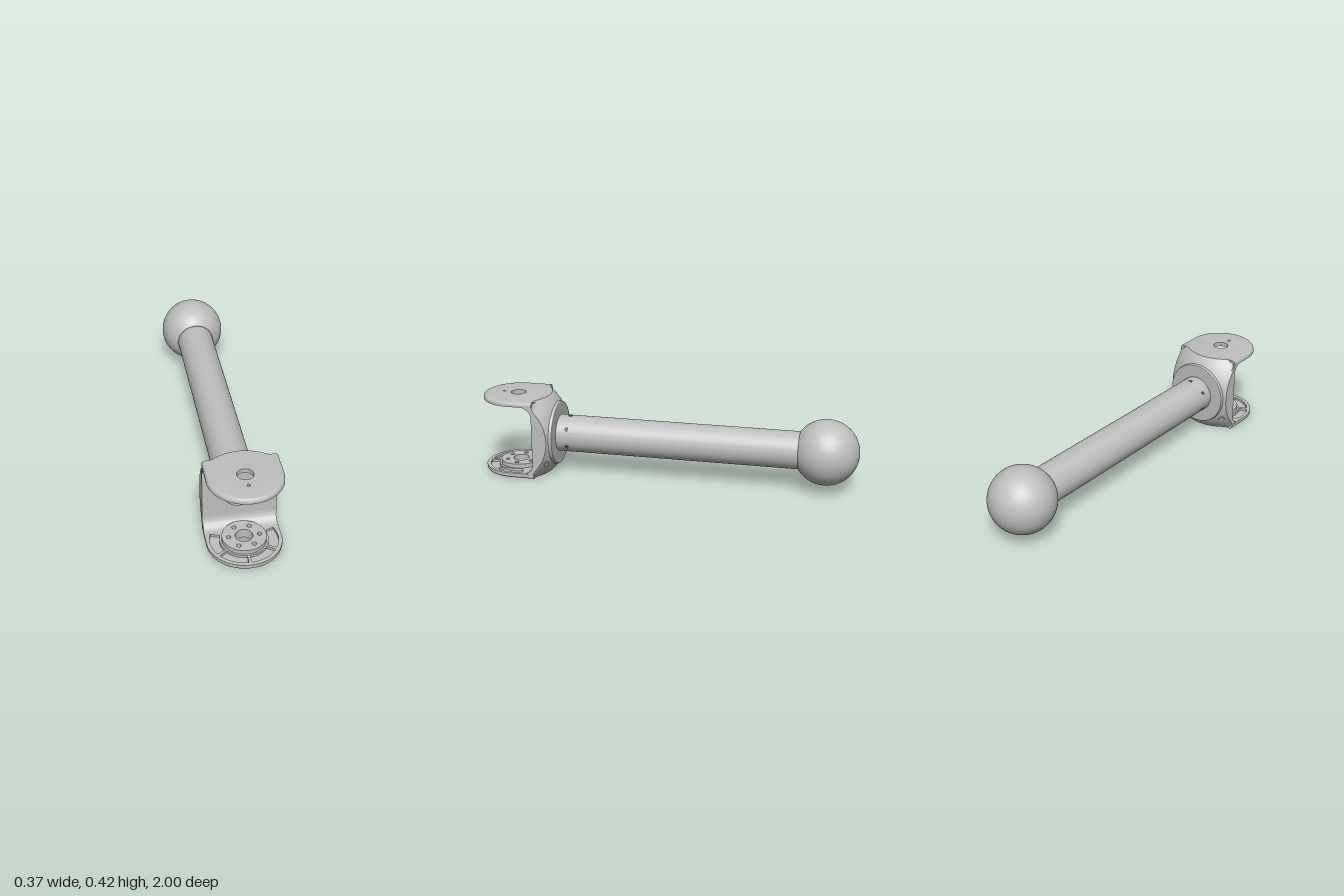
import * as THREE from 'three';
import { toCreasedNormals } from 'three/addons/utils/BufferGeometryUtils.js';

const W = 0.183, H = 0.423, CY = H / 2, PZ = 0.815, WALL = 0.69;
const ROUND = 0.015;

export function createModel() {
  const group = new THREE.Group();
  const grey = new THREE.MeshStandardMaterial({ color: 0xbfbfbf });
  grey.name = 'grey metal';
  const dark = new THREE.MeshStandardMaterial({ color: 0x5a5a5a });
  dark.name = 'dark hole';

  const add = (name, geo, mat = grey) => {
    const mesh = new THREE.Mesh(geo, mat);
    mesh.name = name;
    group.add(mesh);
    return mesh;
  };
  const circle = (x, y, r) => new THREE.Path().absarc(x, y, r, 0, Math.PI * 2, false);

  // Hollow tube along z
  const tube = new THREE.LatheGeometry([
    [0.085, -0.7], [0.085, 0.6], [0.098, 0.6], [0.098, -0.7],
  ].map(([r, z]) => new THREE.Vector2(r, z)).reverse(), 64);
  tube.rotateX(Math.PI / 2).translate(0, CY, 0);
  const tubeMesh = add('tube', toCreasedNormals(tube, 0.6));
  tubeMesh.material = grey;

  // Ball with a flat face where the tube meets it
  const ballR = 0.17, ballZ = -0.83, flat = 0.137;
  const end = Math.acos(flat / ballR);
  const ballProfile = [];
  for (let i = 0; i <= 40; i++) {
    const a = Math.PI + (end - Math.PI) * i / 40;
    ballProfile.push(new THREE.Vector2(Math.max(0, ballR * Math.sin(a)), ballR * Math.cos(a)));
  }
  ballProfile.push(new THREE.Vector2(0, flat));
  const ball = new THREE.LatheGeometry(ballProfile, 64);
  ball.rotateX(Math.PI / 2).translate(0, CY, ballZ);
  add('ball', toCreasedNormals(ball, 0.6));

  // Screw holes around the tube
  for (let i = 0; i < 6; i++) {
    const a = Math.PI / 2 + i * Math.PI / 3;
    const screw = new THREE.CylinderGeometry(0.011, 0.011, 0.006, 20);
    screw.translate(0, 0.0965, 0).rotateZ(a - Math.PI / 2).translate(0, CY, 0.53);
    add('screwHole', screw, dark);
  }

  // Narrow key under the tube
  const key = new THREE.BoxGeometry(0.02, 0.008, 0.11);
  key.translate(0, CY - 0.097, 0.465);
  add('tubeKey', key);

  // Back wall: rings from the hole edge, over the rectangular outline, to the round back face
  const outline = a => Math.pow(
    Math.pow(Math.abs(Math.cos(a)) / W, 20) + Math.pow(Math.abs(Math.sin(a)) / CY, 20), -1 / 20);
  const slope = r => {
    const u = Math.max(0, r - 0.17);
    return Math.min(0.685, 0.603 + 0.6 * u + 5 * u * u);
  };
  const rings = [() => [0.078, WALL], a => [outline(a), WALL]];
  for (let i = 0; i <= 8; i++) {
    rings.push(a => {
      const r = THREE.MathUtils.lerp(outline(a), 0.17, i / 8);
      return [r, slope(r)];
    });
  }
  rings.push(() => [0.167, 0.588], () => [0.164, 0.586], () => [0.078, 0.586], () => [0.078, WALL]);
  const N = 128, pos = [], index = [];
  rings.forEach((ring, i) => {
    for (let j = 0; j < N; j++) {
      const a = j / N * Math.PI * 2, [r, z] = ring(a);
      pos.push(r * Math.cos(a), CY + r * Math.sin(a), z);
      if (i === rings.length - 1) continue;
      const k = (j + 1) % N, p = i * N, q = p + N;
      index.push(p + j, q + j, q + k, p + j, q + k, p + k);
    }
  });
  const wall = new THREE.BufferGeometry();
  wall.setAttribute('position', new THREE.Float32BufferAttribute(pos, 3));
  wall.setIndex(index);
  add('backWall', toCreasedNormals(wall, 0.5));

  // Shallow dimples on the lower sides of the wall
  for (const s of [-1, 1]) {
    const dimple = new THREE.CylinderGeometry(0.014, 0.014, 0.006, 24);
    dimple.scale(1, 1, 1.6);
    const m = add('dimple', dimple);
    m.position.set(s * 0.15, CY - 0.13, slope(0.198));
    m.quaternion.setFromUnitVectors(new THREE.Vector3(0, 1, 0),
      new THREE.Vector3(s * 0.66, -0.57, -1).normalize());
  }

  // Concave fillets between wall and plates
  const R = 0.06;
  for (const s of [-1, 1]) {
    const y = CY + s * 0.185;
    const shape = new THREE.Shape();
    shape.moveTo(WALL - 0.005, y + s * 0.008);
    shape.lineTo(WALL + R, y + s * 0.008);
    for (let i = 0; i <= 14; i++) {
      const a = i / 14 * Math.PI / 2;
      shape.lineTo(WALL + R - R * Math.sin(a), y - s * R * (1 - Math.cos(a)));
    }
    shape.lineTo(WALL - 0.005, y - s * R);
    const fillet = new THREE.ExtrudeGeometry(shape, { depth: 2 * W - 0.004, bevelEnabled: false });
    fillet.rotateY(-Math.PI / 2).translate(W - 0.002, 0, 0);
    add('fillet', toCreasedNormals(fillet, 0.5));
  }

  // Plate layer: round-ended outline with holes, edge rounded towards outerY
  const layer = (name, yTop, depth, holes, outerY) => {
    const s = new THREE.Shape();
    s.moveTo(-W, WALL - 0.004);
    s.lineTo(W, WALL - 0.004);
    s.lineTo(W, 1 - W);
    s.absarc(0, 1 - W, W, 0, Math.PI, false);
    s.closePath();
    s.holes.push(...holes);
    const geo = new THREE.ExtrudeGeometry(s, { depth, bevelEnabled: false, steps: 5, curveSegments: 40 });
    geo.rotateX(Math.PI / 2).translate(0, yTop, 0);
    const p = geo.attributes.position;
    for (let i = 0; i < p.count; i++) {
      const x = p.getX(i), z = p.getZ(i), d = Math.abs(p.getY(i) - outerY);
      if (d > ROUND || Math.hypot(x, z - 1 + W) < W - 0.005) continue;
      const t = 1 - d / ROUND;
      const k = 1 - ROUND * (1 - Math.sqrt(Math.max(0, 1 - t * t))) / W;
      p.setX(i, x * k);
      if (z > 1 - W) p.setZ(i, 1 - W + (z - 1 + W) * k);
    }
    add(name, toCreasedNormals(geo, 0.6));
  };

  // Top plate: skin with holes and a recessed underside
  layer('topPlate', H, 0.015, [circle(0, PZ, 0.04), circle(0, 0.895, 0.008)], H);
  const recess = new THREE.Path();
  recess.absarc(0, PZ, 0.165, -0.42, Math.PI + 0.42, false);
  recess.closePath();
  layer('topRim', H - 0.015, 0.011, [recess], H);
  const collarShape = new THREE.Shape().absarc(0, PZ, 0.055, 0, Math.PI * 2, false);
  collarShape.holes.push(circle(0, PZ, 0.04));
  const collar = new THREE.ExtrudeGeometry(collarShape, { depth: 0.009, bevelEnabled: false, curveSegments: 32 });
  collar.rotateX(Math.PI / 2).translate(0, H - 0.015, 0);
  add('topCollar', toCreasedNormals(collar, 0.6));

  // Bottom plate: skin, slotted rim layer and raised hub sharing one hole pattern
  const pattern = () => {
    const holes = [circle(0, PZ, 0.043)];
    for (let i = 0; i < 6; i++) {
      const a = i * Math.PI / 3;
      holes.push(circle(0.075 * Math.cos(a), PZ + 0.075 * Math.sin(a), 0.011));
    }
    return holes;
  };
  const slots = [];
  const first = -0.42, step = (Math.PI + 0.84) / 4;
  for (let i = 0; i < 4; i++) {
    const a0 = first + i * step + 0.05, a1 = first + (i + 1) * step - 0.05;
    const slot = new THREE.Path();
    slot.absarc(0, PZ, 0.165, a0, a1, false);
    slot.absarc(0, PZ, 0.118, a1, a0, true);
    slot.closePath();
    slots.push(slot);
  }
  layer('bottomPlate', 0.015, 0.015, pattern(), 0);
  layer('bottomRim', 0.028, 0.013, [...pattern(), ...slots], 0);
  const hubShape = new THREE.Shape().absarc(0, PZ, 0.108, 0, Math.PI * 2, false);
  hubShape.holes.push(...pattern());
  const hub = new THREE.ExtrudeGeometry(hubShape, { depth: 0.022, bevelEnabled: false, curveSegments: 40 });
  hub.rotateX(Math.PI / 2).translate(0, 0.05, 0);
  add('hub', toCreasedNormals(hub, 0.6));

  return group;
}
